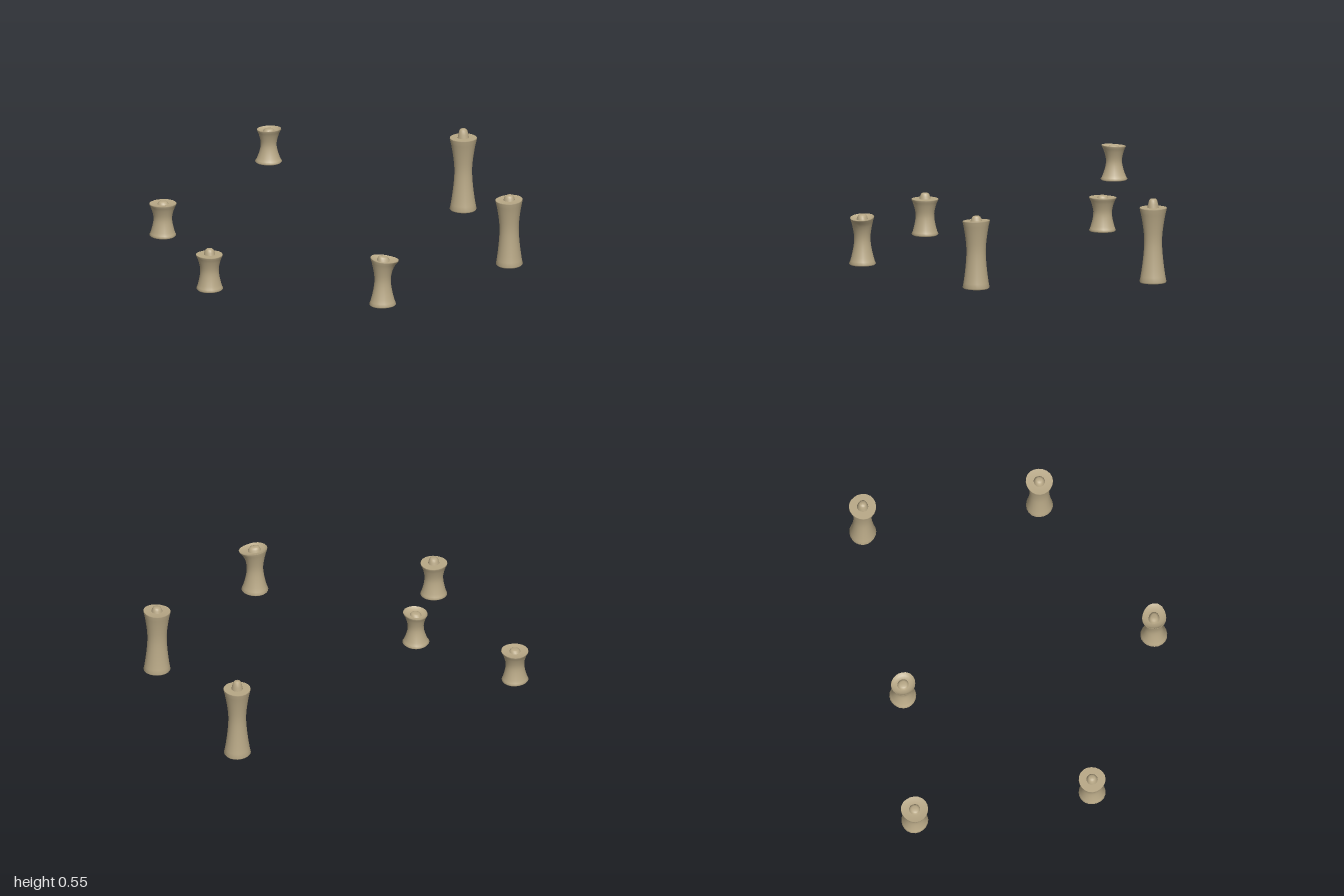
import * as THREE from 'three';
import { mergeVertices } from 'three/addons/utils/BufferGeometryUtils.js';

const bone = new THREE.MeshStandardMaterial({ color: 0xb8a886 });
bone.name = 'bone';

// base: bottom height, rim: top height, nub: tip height, dish: sink of the top face,
// tilt: rise of the rim along [x, z], bulge: [angle, amount] of a lip on the rim
const STUMPS = [
  { name: 'rightStump', x: -0.93, z: 0, base: 0.01, rim: 0.2, nub: 0.232, rTop: 0.07, waist: 0.048, dish: 0, tilt: [0, 0], bulge: [0, 0] },
  { name: 'backRightStump', x: -0.465, z: -0.805, base: 0.005, rim: 0.182, nub: 0.193, rTop: 0.071, waist: 0.048, dish: 0.004, tilt: [0, 0.03], bulge: [0, 0] },
  { name: 'raisedBackStump', x: 0, z: -0.498, base: 0.37, rim: 0.55, nub: 0.552, rTop: 0.062, waist: 0.041, dish: 0.012, tilt: [0, 0.08], bulge: [Math.PI / 2, 0.007] },
  { name: 'frontRightStump', x: -0.467, z: 0.8, base: 0.005, rim: 0.255, nub: 0.27, rTop: 0.063, waist: 0.042, dish: 0.01, tilt: [-0.06, -0.12], bulge: [0.85, 0.024] },
  { name: 'frontLeftStump', x: 0.46, z: 0.8, base: 0.005, rim: 0.36, nub: 0.385, rTop: 0.071, waist: 0.05, dish: 0.002, tilt: [0.06, 0], bulge: [0, 0] },
  { name: 'leftStump', x: 0.925, z: 0, base: 0.01, rim: 0.402, nub: 0.45, rTop: 0.071, waist: 0.046, dish: 0, tilt: [0, 0], bulge: [0, 0] },
];

function createStump(s, index) {
  const group = new THREE.Group();
  group.name = s.name;
  const h = s.rim - s.base;
  const rBase = 0.07;

  // Tilts the upper end and pushes the lip outward
  const warp = (geometry) => {
    const p = geometry.attributes.position;
    for (let i = 0; i < p.count; i++) {
      const x = p.getX(i), y = p.getY(i), z = p.getZ(i);
      const t = Math.max(0, (y - s.base) / h);
      const r = Math.hypot(x, z);
      const a = Math.atan2(z, x);
      const w = Math.min(1, t) ** 5;
      const lip = Math.max(0, Math.cos(a - s.bulge[0])) ** 3 * s.bulge[1] * w * r / s.rTop;
      const wobble = 1 + 0.018 * Math.sin(3 * a + index * 1.7 + 2 * t);
      p.setXYZ(i,
        x * wobble + Math.cos(a) * lip,
        y + w * (s.tilt[0] * x + s.tilt[1] * z),
        z * wobble + Math.sin(a) * lip);
    }
  };

  const add = (name, points) => {
    let geometry = new THREE.LatheGeometry(points.map(([r, y]) => new THREE.Vector2(r, y)), 20);
    geometry.deleteAttribute('uv');
    geometry.deleteAttribute('normal');
    geometry = mergeVertices(geometry, 1e-5);
    warp(geometry);
    geometry.computeVertexNormals();
    const mesh = new THREE.Mesh(geometry, bone);
    mesh.name = name;
    group.add(mesh);
  };

  // Waisted shaft with a flared rim
  const shaft = [[rBase - 0.005, s.base], [rBase, s.base + 0.006]];
  for (let i = 1; i < 12; i++) {
    const t = i / 12;
    const end = t < 0.55 ? rBase : s.rTop;
    const k = Math.abs(t - 0.55) / (t < 0.55 ? 0.55 : 0.45);
    shaft.push([s.waist + (end - s.waist) * k ** 1.6, s.base + h * t]);
  }
  shaft.push([s.rTop, s.rim - 0.004], [s.rTop - 0.001, s.rim]);
  add('shaft', shaft);

  // Flat underside
  add('underside', [[0, s.base], [rBase - 0.005, s.base]]);

  // Shallow top face
  const floor = s.rim - s.dish;
  add('topFace', [[s.rTop - 0.001, s.rim], [0.048, floor], [0.028, floor], [0, floor]]);

  // Rounded nub in the middle of the top
  const n = s.nub - floor;
  add('nub', [[0.03, floor - 0.002], [0.026, floor + n * 0.4], [0.021, floor + n * 0.8], [0.014, floor + n * 0.96], [0, s.nub]]);

  group.position.set(s.x, 0, s.z);
  return group;
}

export function createModel() {
  const model = new THREE.Group();
  model.name = 'stumpRing';
  STUMPS.forEach((s, i) => model.add(createStump(s, i)));
  return model;
}
